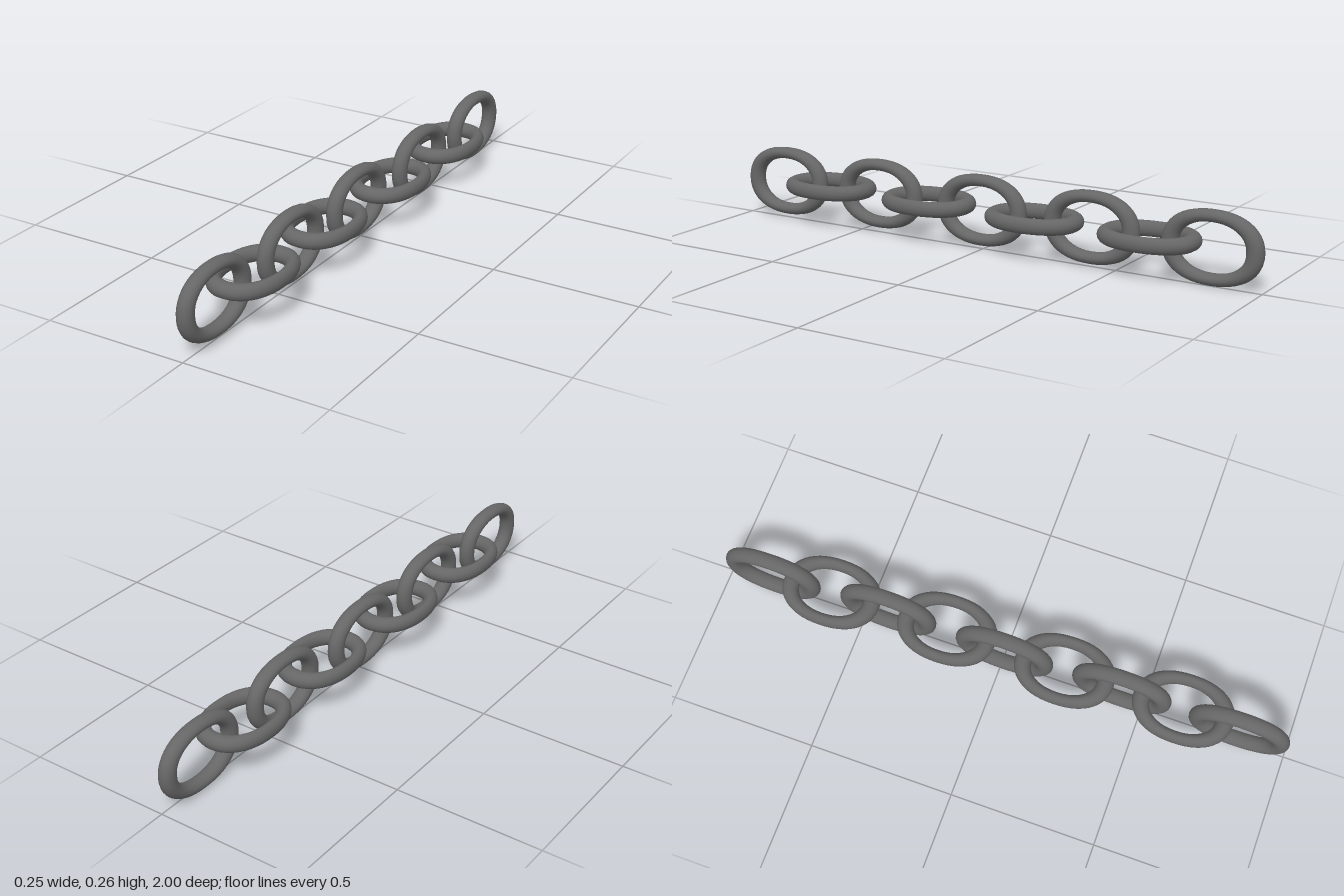
import * as THREE from 'three';

// Closed oval path of one link, lying in the YZ plane
class LinkCurve extends THREE.Curve {
  getPoint(t, target = new THREE.Vector3()) {
    const a = t * Math.PI * 2, c = Math.cos(a), s = Math.sin(a), e = 2 / 2.2;
    return target.set(0,
      0.102 * Math.sign(s) * Math.abs(s) ** e,
      0.143 * Math.sign(c) * Math.abs(c) ** e);
  }
}

// Swept oval ring: the bar is thicker at the rounded ends than along the sides
function linkGeometry(around = 48, sides = 16) {
  const curve = new LinkCurve(), pos = [], index = [];
  for (let i = 0; i < around; i++) {
    const a = (i / around) * Math.PI * 2;
    const p = curve.getPoint(i / around);
    const n = new THREE.Vector3(0, Math.sin(a) / 0.102, Math.cos(a) / 0.143).normalize();
    const wall = 0.02 + 0.009 * Math.cos(a) ** 2;
    for (let j = 0; j < sides; j++) {
      const b = (j / sides) * Math.PI * 2, r = wall * Math.cos(b);
      pos.push(0.027 * Math.sin(b), p.y + n.y * r, p.z + n.z * r);
      const i2 = (i + 1) % around, j2 = (j + 1) % sides;
      const q = [i * sides + j, i2 * sides + j, i2 * sides + j2, i * sides + j2];
      index.push(q[0], q[2], q[1], q[0], q[3], q[2]);
    }
  }
  const g = new THREE.BufferGeometry();
  g.setAttribute('position', new THREE.Float32BufferAttribute(pos, 3));
  g.setIndex(index);
  g.computeVertexNormals();
  return g;
}

export function createModel() {
  const group = new THREE.Group();
  group.name = 'chain';
  const material = new THREE.MeshStandardMaterial({ color: 0x666666 });
  const geometry = linkGeometry();

  // Links from front to back: x, y, z and a slight roll; every second one lies flat
  const links = [
    [-0.004, 0.135, 0.828, 0.02], [0.001, 0.138, 0.634, 0.01],
    [-0.002, 0.139, 0.421, 0], [-0.005, 0.135, 0.222, -0.01],
    [-0.008, 0.132, 0.010, 0.01], [0.002, 0.132, -0.198, 0.01],
    [-0.001, 0.132, -0.409, 0], [-0.005, 0.127, -0.613, 0],
    [-0.007, 0.123, -0.828, 0],
  ];
  links.forEach(([x, y, z, roll], i) => {
    const link = new THREE.Mesh(geometry, material);
    link.name = (i % 2 ? 'flatLink' : 'uprightLink') + (i + 1);
    link.position.set(x, y, z);
    link.rotation.z = roll + (i % 2 ? Math.PI / 2 : 0);
    group.add(link);
  });
  return group;
}
